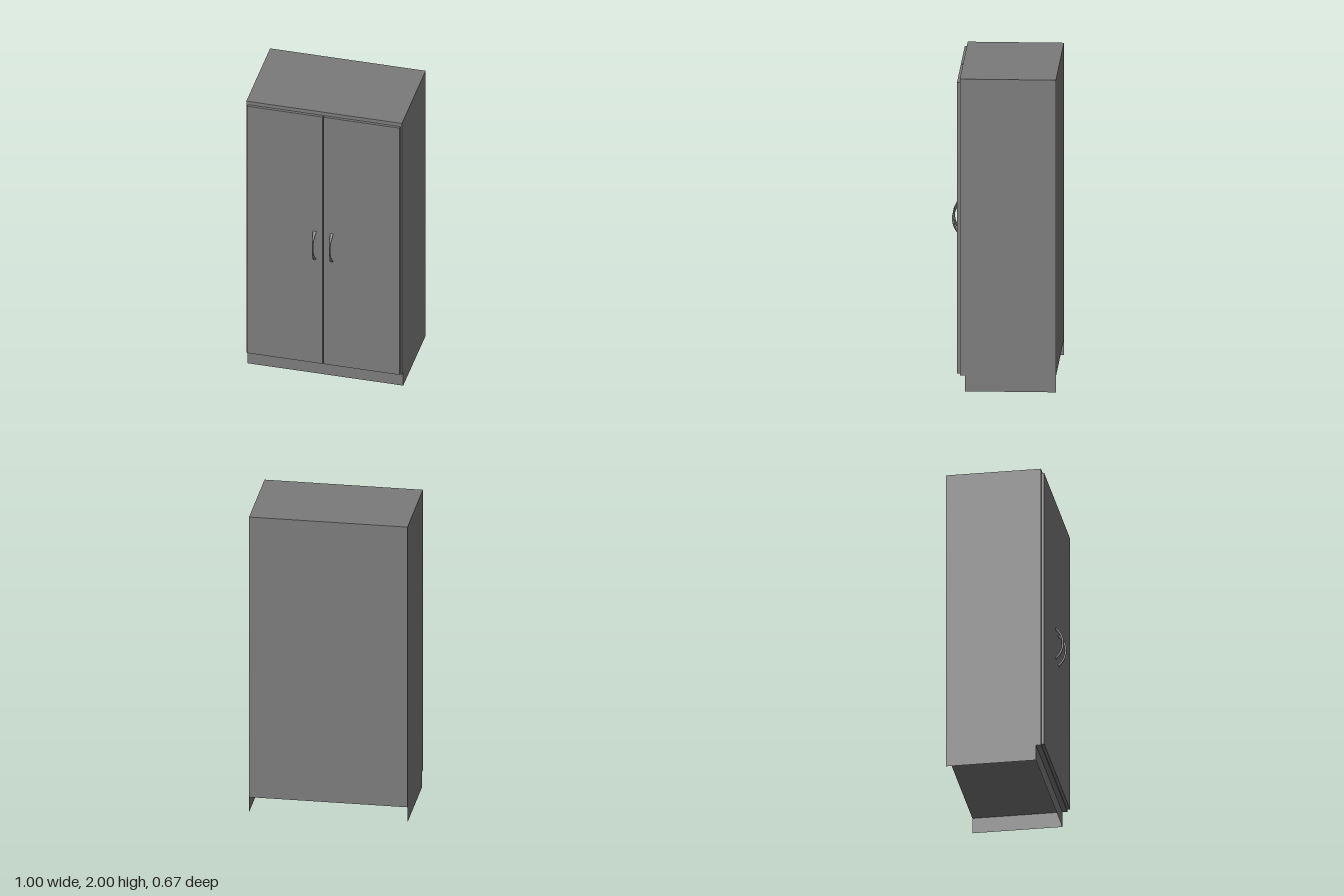
import * as THREE from 'three';

const W = 1, BACK = -0.336, FRONT = 0.264, BASE = 0.102, TOP = 2;
const KICK = 0.232, DOOR_FACE = 0.282, HANDLE_FRONT = 0.335;

const grey = new THREE.MeshStandardMaterial({ color: 0x7b7b7b });
const sheet = new THREE.MeshStandardMaterial({ color: 0x7b7b7b, side: THREE.DoubleSide });

// Box given by its extents
function box(name, x0, x1, y0, y1, z0, z1) {
  const mesh = new THREE.Mesh(new THREE.BoxGeometry(x1 - x0, y1 - y0, z1 - z0), grey);
  mesh.position.set((x0 + x1) / 2, (y0 + y1) / 2, (z0 + z1) / 2);
  mesh.name = name;
  return mesh;
}

// Thin upright panel of the plinth
function panel(name, width, x, z, turn) {
  const mesh = new THREE.Mesh(new THREE.PlaneGeometry(width, BASE), sheet);
  mesh.position.set(x, BASE / 2, z);
  mesh.rotation.y = turn;
  mesh.name = name;
  return mesh;
}

// Bow handle: an arc with a slim grip that widens towards its feet
function handleGeometry() {
  const r = 0.007, half = 0.103, rise = HANDLE_FRONT - r - DOOR_FACE;
  const R = (half * half + rise * rise) / (2 * rise);
  const end = Math.asin(half / R);
  const points = [];
  for (let i = 0; i <= 12; i++) {
    const a = end * (i / 6 - 1);
    points.push(new THREE.Vector3(0, R * Math.sin(a), rise - R + R * Math.cos(a)));
  }
  const geo = new THREE.TubeGeometry(new THREE.CatmullRomCurve3(points), 24, r, 10, false);
  const pos = geo.attributes.position;
  for (let i = 0; i < pos.count; i++) {
    const t = Math.min(1, Math.abs(pos.getY(i)) / half);
    pos.setX(i, pos.getX(i) * (0.65 + 0.95 * t ** 3));
  }
  geo.computeVertexNormals();
  return geo;
}

export function createModel() {
  const group = new THREE.Group();
  group.name = 'wardrobe';

  // Carcass above a recessed plinth that is open at the back and below
  group.add(box('carcass', -W / 2, W / 2, BASE, TOP, BACK, FRONT));
  group.add(panel('kickBoard', W, 0, KICK, 0));

  const handle = handleGeometry();
  for (const [side, s] of [['left', 1], ['right', -1]]) {
    group.add(panel(side + 'PlinthSide', KICK - BACK, s * W / 2, (KICK + BACK) / 2, s * Math.PI / 2));

    // Door with its handle near the middle gap
    const x0 = s > 0 ? 0.001 : -0.49, x1 = s > 0 ? 0.49 : -0.005;
    group.add(box(side + 'Door', x0, x1, 0.112, 1.975, FRONT, DOOR_FACE));
    const bow = new THREE.Mesh(handle, sheet);
    bow.position.set(s * 0.055 - 0.002, 1, DOOR_FACE);
    bow.name = side + 'Handle';
    group.add(bow);
  }
  return group;
}
